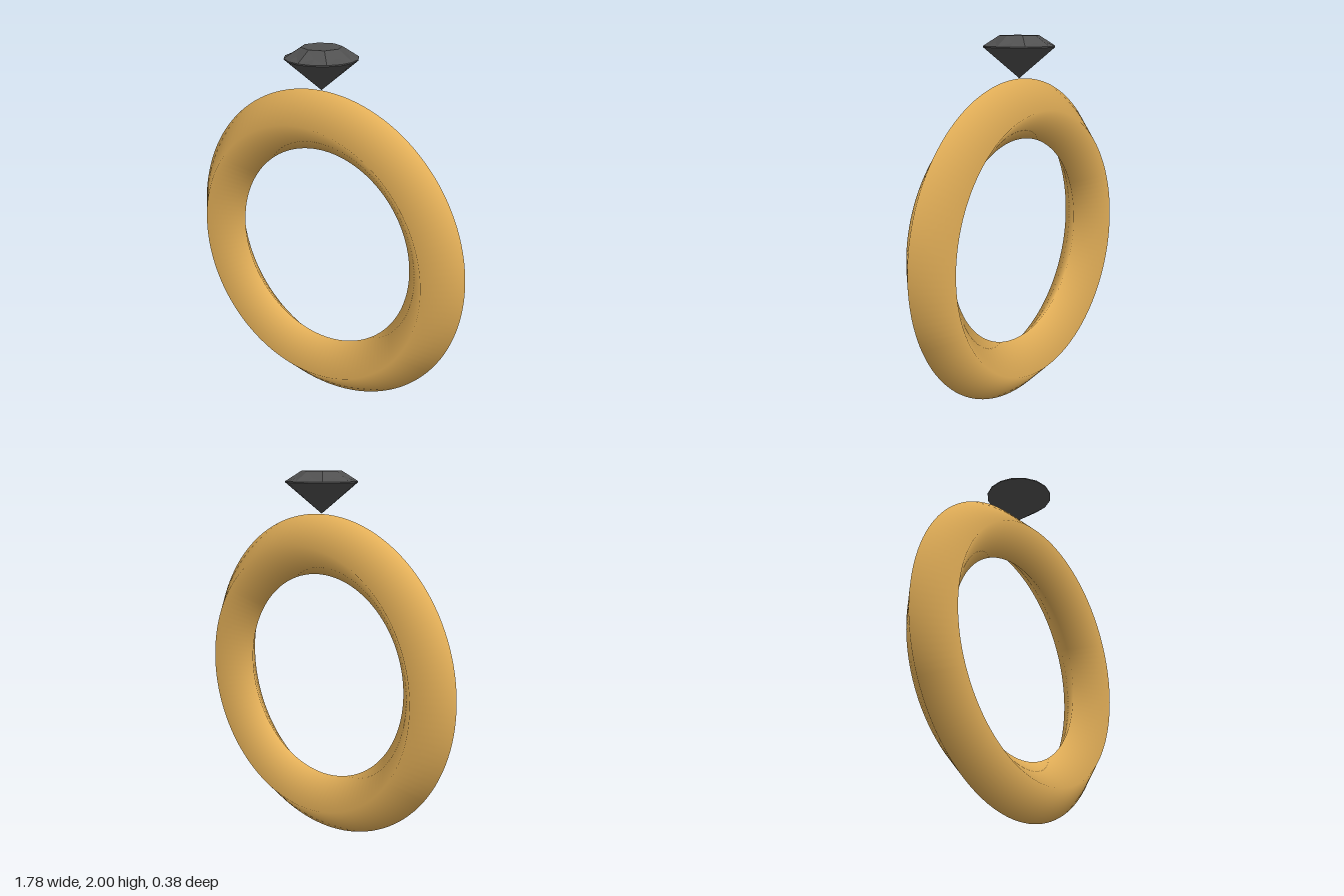
import * as THREE from 'three';

// Point on a horizontal circle, angle given in sixteenths of a turn
function ringPoint(radius, y, i) {
  const a = (i / 16) * Math.PI * 2;
  return [Math.cos(a) * radius, y, -Math.sin(a) * radius];
}

// Brilliant cut: table, star, kite and girdle facets over a pointed pavilion
function gemGeometry() {
  const pos = [];
  const tri = (...corners) => corners.forEach((c) => pos.push(...c));
  const table = (i) => ringPoint(0.105, 2.0, i);
  const mid = (i) => ringPoint(0.142, 1.966, i);
  const girdle = (i) => ringPoint(0.19, 1.947, i);
  const lower = (i) => ringPoint(0.19, 1.941, i);
  const centre = [0, 2.0, 0];
  const tip = [0, 1.78, 0];

  for (let i = 0; i < 16; i += 2) {
    tri(centre, table(i), table(i + 2));
    tri(mid(i + 1), table(i + 2), table(i));
    tri(table(i + 2), mid(i + 1), girdle(i + 2));
    tri(table(i + 2), girdle(i + 2), mid(i + 3));
    tri(girdle(i), girdle(i + 1), mid(i + 1));
    tri(girdle(i + 1), girdle(i + 2), mid(i + 1));
  }
  for (let i = 0; i < 16; i++) {
    tri(lower(i), lower(i + 1), girdle(i + 1));
    tri(lower(i), girdle(i + 1), girdle(i));
    tri(tip, lower(i + 1), lower(i));
  }
  const geo = new THREE.BufferGeometry();
  geo.setAttribute('position', new THREE.Float32BufferAttribute(pos, 3));
  geo.computeVertexNormals();
  return geo;
}

export function createModel() {
  const group = new THREE.Group();
  group.name = 'ring';

  // Band with a diamond-shaped section, softly shaded
  const gold = new THREE.MeshStandardMaterial({ color: 0xe8b35a });
  const band = new THREE.Mesh(new THREE.TorusGeometry(0.728, 0.16, 4, 128), gold);
  band.name = 'band';
  band.position.y = 0.89;
  group.add(band);

  // Faceted stone balanced on its tip
  const stone = new THREE.MeshStandardMaterial({ color: 0x505050, flatShading: true });
  const gem = new THREE.Mesh(gemGeometry(), stone);
  gem.name = 'gem';
  group.add(gem);

  return group;
}
